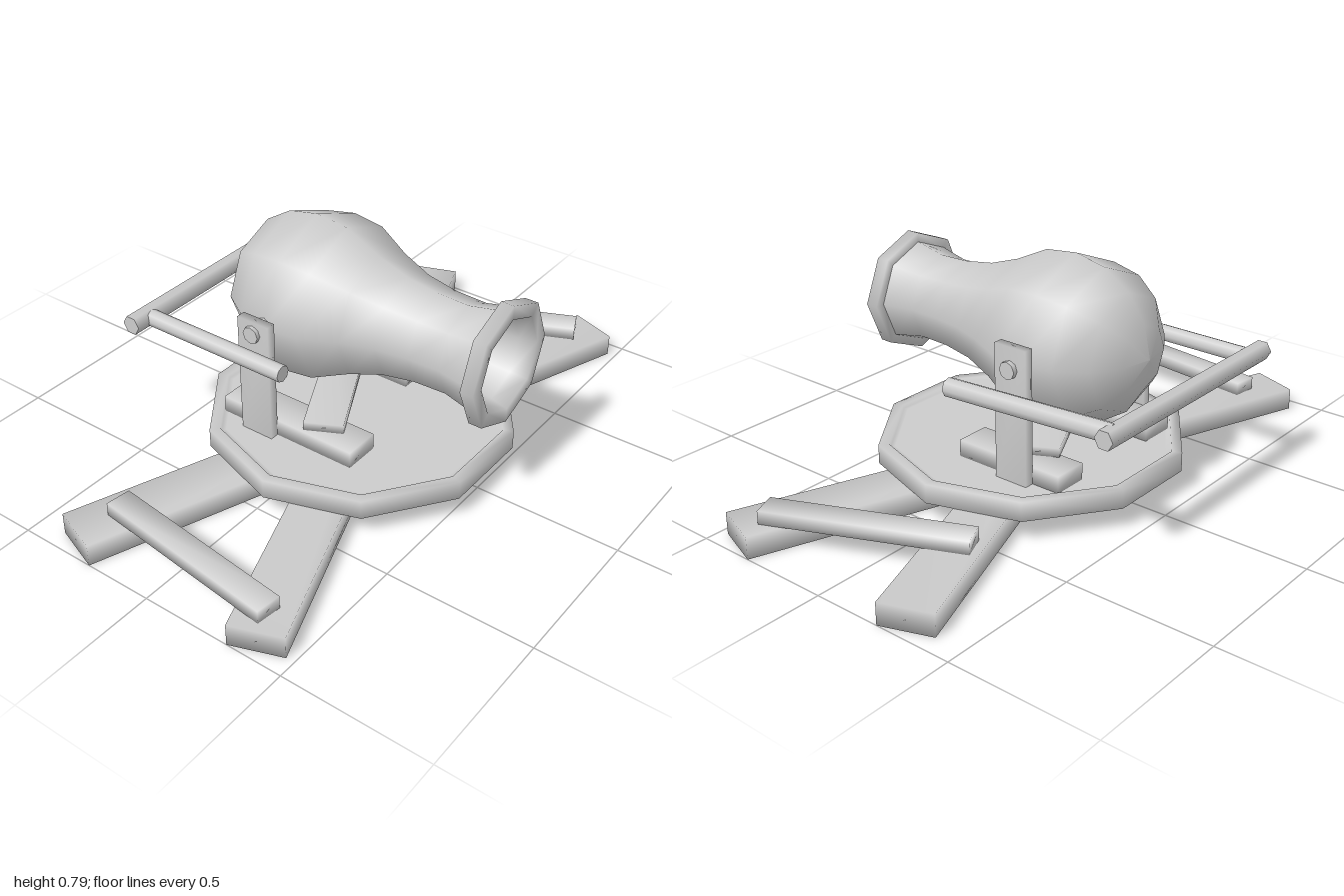
import * as THREE from 'three';
import { mergeVertices } from 'three/addons/utils/BufferGeometryUtils.js';

const material = new THREE.MeshStandardMaterial({ color: 0xcccccc });

// Welds shared corners so the normals blend softly over the edges
function soften(geometry) {
  geometry.deleteAttribute('normal');
  geometry.deleteAttribute('uv');
  const welded = mergeVertices(geometry);
  welded.computeVertexNormals();
  return welded;
}

export function createModel() {
  const model = new THREE.Group();
  model.name = 'swivelCannon';

  function add(name, geometry, x = 0, y = 0, z = 0) {
    const mesh = new THREE.Mesh(geometry, material);
    mesh.name = name;
    mesh.position.set(x, y, z);
    model.add(mesh);
    return mesh;
  }

  // Box given by its extents
  function block(name, x0, x1, y0, y1, z0, z1) {
    return add(name, soften(new THREE.BoxGeometry(x1 - x0, y1 - y0, z1 - z0)),
      (x0 + x1) / 2, (y0 + y1) / 2, (z0 + z1) / 2);
  }

  // Flat board from one ground point to another
  function board(name, [x0, z0], [x1, z1], width, y0, y1) {
    const length = Math.hypot(x1 - x0, z1 - z0);
    const mesh = add(name, soften(new THREE.BoxGeometry(length, y1 - y0, width)),
      (x0 + x1) / 2, (y0 + y1) / 2, (z0 + z1) / 2);
    mesh.rotation.y = -Math.atan2(z1 - z0, x1 - x0);
    return mesh;
  }

  // Round bar between two points
  function rod(name, from, to, radius, sides = 8) {
    const a = new THREE.Vector3(...from);
    const b = new THREE.Vector3(...to);
    const axis = b.clone().sub(a);
    const mid = a.clone().add(b).multiplyScalar(0.5);
    const mesh = add(name, new THREE.CylinderGeometry(radius, radius, axis.length(), sides), mid.x, mid.y, mid.z);
    mesh.quaternion.setFromUnitVectors(new THREE.Vector3(0, 1, 0), axis.normalize());
    return mesh;
  }

  function lathe(points, sides, start = 0) {
    return new THREE.LatheGeometry(points.map(([r, y]) => new THREE.Vector2(r, y)), sides, start);
  }

  // Crossed ground beams
  for (const s of [-1, 1]) {
    board('groundBeam', [-0.97, 0.036 - s * 0.353], [0.97, 0.036 + s * 0.353], 0.176, 0, 0.075);
  }

  // Tie planks joining the beam ends
  board('leftTiePlank', [0.617, -0.252], [0.885, 0.357], 0.09, 0.075, 0.12);
  board('rightTiePlank', [-0.818, -0.28], [-0.9, 0.38], 0.085, 0.075, 0.12);

  // Ten-sided turntable with a low rim
  add('turntable', lathe([
    [0, 0.075], [0.48, 0.075], [0.515, 0.075], [0.515, 0.14],
    [0.48, 0.14], [0.475, 0.13], [0.46, 0.13], [0, 0.13],
  ], 10, Math.PI / 2), 0, 0, 0.04);

  // Foot plates and the crosswise board over them
  block('leftFootPlate', 0.17, 0.29, 0.13, 0.187, -0.3, 0.1);
  block('rightFootPlate', -0.295, -0.17, 0.13, 0.187, -0.3, 0.21);
  board('crossBoard', [-0.256, 0.077], [0.216, -0.165], 0.13, 0.187, 0.217);

  // Uprights and pivot bolts
  block('leftUpright', 0.29, 0.322, 0.13, 0.58, -0.2, -0.08);
  block('rightUpright', -0.325, -0.293, 0.13, 0.55, -0.2, -0.08);
  for (const s of [-1, 1]) {
    rod('pivotBolt', [s * 0.25, 0.508, -0.14], [s * 0.338, 0.508, -0.14], 0.029);
  }

  // Eight-sided bulbous barrel with a flared muzzle ring and hollow bore
  const barrel = add('barrel', lathe([
    [0, -0.422], [0.107, -0.4], [0.197, -0.34], [0.258, -0.245], [0.281, -0.135],
    [0.268, -0.02], [0.21, 0.1], [0.172, 0.21], [0.155, 0.32], [0.152, 0.43], [0.175, 0.54],
  ], 8), 0, 0.508, 0);
  barrel.rotation.x = Math.PI / 2;
  const muzzle = add('muzzleRing', lathe([
    [0.17, 0.54], [0.207, 0.54], [0.207, 0.585], [0.16, 0.585],
    [0.145, 0.53], [0.13, 0.43], [0.12, 0.25], [0, 0.2],
  ], 8), 0, 0.508, 0);
  muzzle.rotation.x = Math.PI / 2;

  // Push handle: two side bars and a crossbar behind the barrel
  rod('leftHandleBar', [0.36, 0.403, 0.075], [0.36, 0.437, -0.555], 0.032);
  rod('rightHandleBar', [-0.36, 0.437, 0.005], [-0.36, 0.437, -0.555], 0.028);
  rod('handleCrossbar', [-0.437, 0.437, -0.557], [0.412, 0.437, -0.557], 0.033, 6);

  return model;
}
